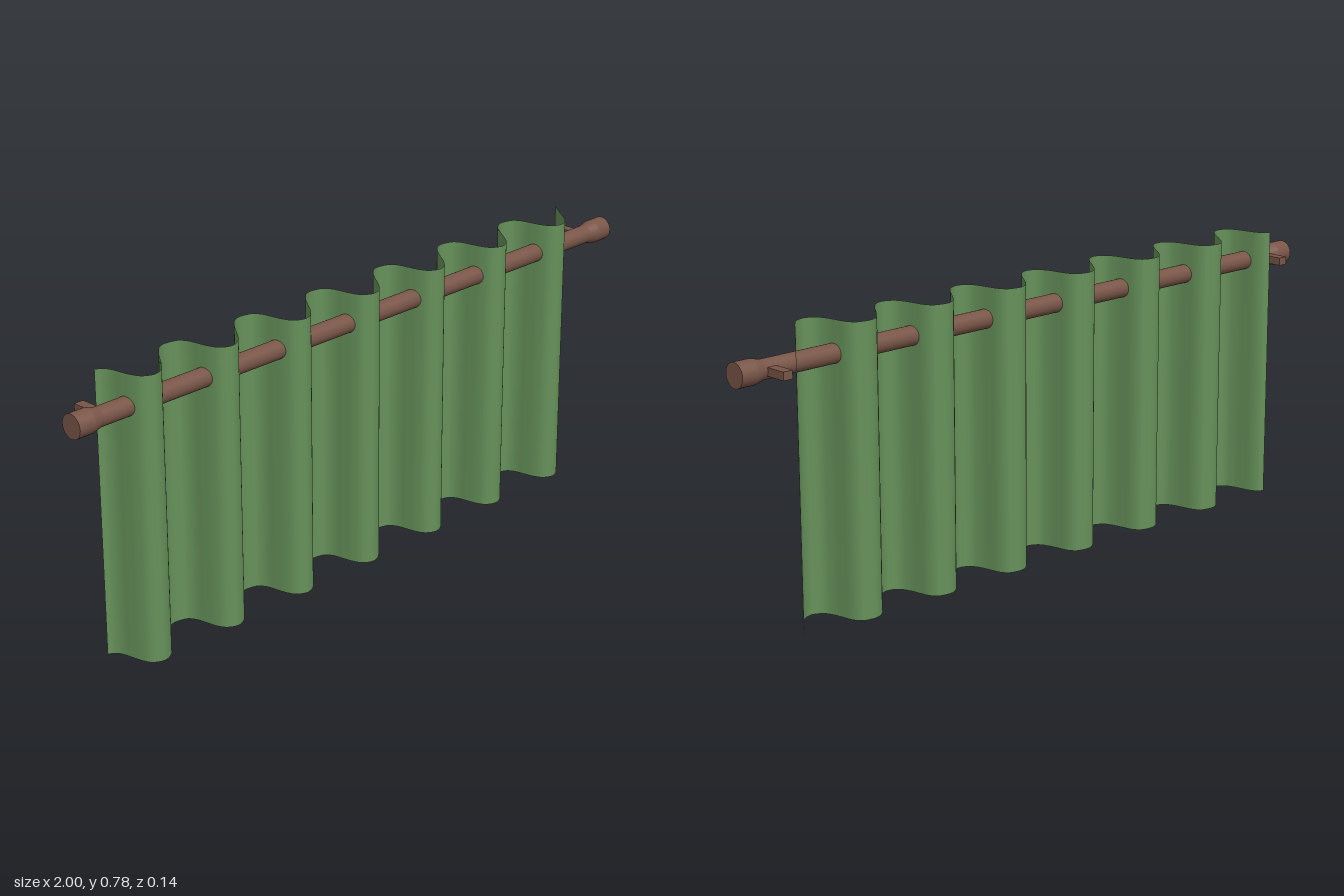
import * as THREE from 'three';

const ROD_Y = 0.69, ROD_Z = 0.014;

export function createModel() {
  const group = new THREE.Group();
  const wood = new THREE.MeshStandardMaterial({ color: 0x795548 });
  const cloth = new THREE.MeshStandardMaterial({ color: 0x66915a, side: THREE.DoubleSide });

  const add = (name, geometry, material) => {
    const mesh = new THREE.Mesh(geometry, material);
    mesh.name = name;
    group.add(mesh);
    return mesh;
  };

  // Curtain: one fold profile (x offset, z), repeated along the rod
  const fold = [
    [-0.033, -0.055], [-0.018, -0.048], [-0.006, -0.028], [0, 0.003], [0.006, 0.033],
    [0.018, 0.058], [0.045, 0.072], [0.075, 0.063], [0.1, 0.038], [0.13, -0.003],
    [0.165, -0.045], [0.192, -0.058],
  ];
  const folds = 7, pitch = 0.2545, firstFold = -0.832, height = 0.777;
  const points = [];
  for (let i = 0; i < folds; i++) {
    const count = i === folds - 1 ? fold.length - 1 : fold.length;
    for (const [x, z] of fold.slice(0, count)) {
      points.push(new THREE.Vector3(firstFold + i * pitch + x, 0, z));
    }
  }
  const path = new THREE.CatmullRomCurve3(points);
  const steps = (points.length - 1) * 4;
  const sheet = new THREE.PlaneGeometry(1, height, steps, 1);
  const pos = sheet.attributes.position;
  for (let i = 0; i < pos.count; i++) {
    const p = path.getPoint((i % (steps + 1)) / steps);
    pos.setXYZ(i, p.x, pos.getY(i) + height / 2, p.z);
  }
  sheet.computeVertexNormals();
  add('curtain', sheet, cloth);

  // Rod threaded through the folds
  const rod = add('rod', new THREE.CylinderGeometry(0.026, 0.026, 1.9, 32).rotateZ(Math.PI / 2), wood);
  rod.position.set(0, ROD_Y, ROD_Z);

  for (const side of [1, -1]) {
    const label = side > 0 ? 'left' : 'right';

    // Flared finial: tapered collar and straight end
    const flare = add(label + 'FinialFlare',
      new THREE.CylinderGeometry(0.033, 0.026, 0.03, 32, 1, true).rotateZ(-side * Math.PI / 2), wood);
    flare.position.set(side * 0.935, ROD_Y, ROD_Z);
    const cap = add(label + 'FinialCap',
      new THREE.CylinderGeometry(0.033, 0.033, 0.05, 32).rotateZ(-side * Math.PI / 2), wood);
    cap.position.set(side * 0.975, ROD_Y, ROD_Z);

    // Wall bracket reaching back from the rod
    const bracket = add(label + 'Bracket', new THREE.BoxGeometry(0.028, 0.022, 0.08), wood);
    bracket.position.set(side * 0.905, ROD_Y - 0.001, -0.031);
  }
  return group;
}
